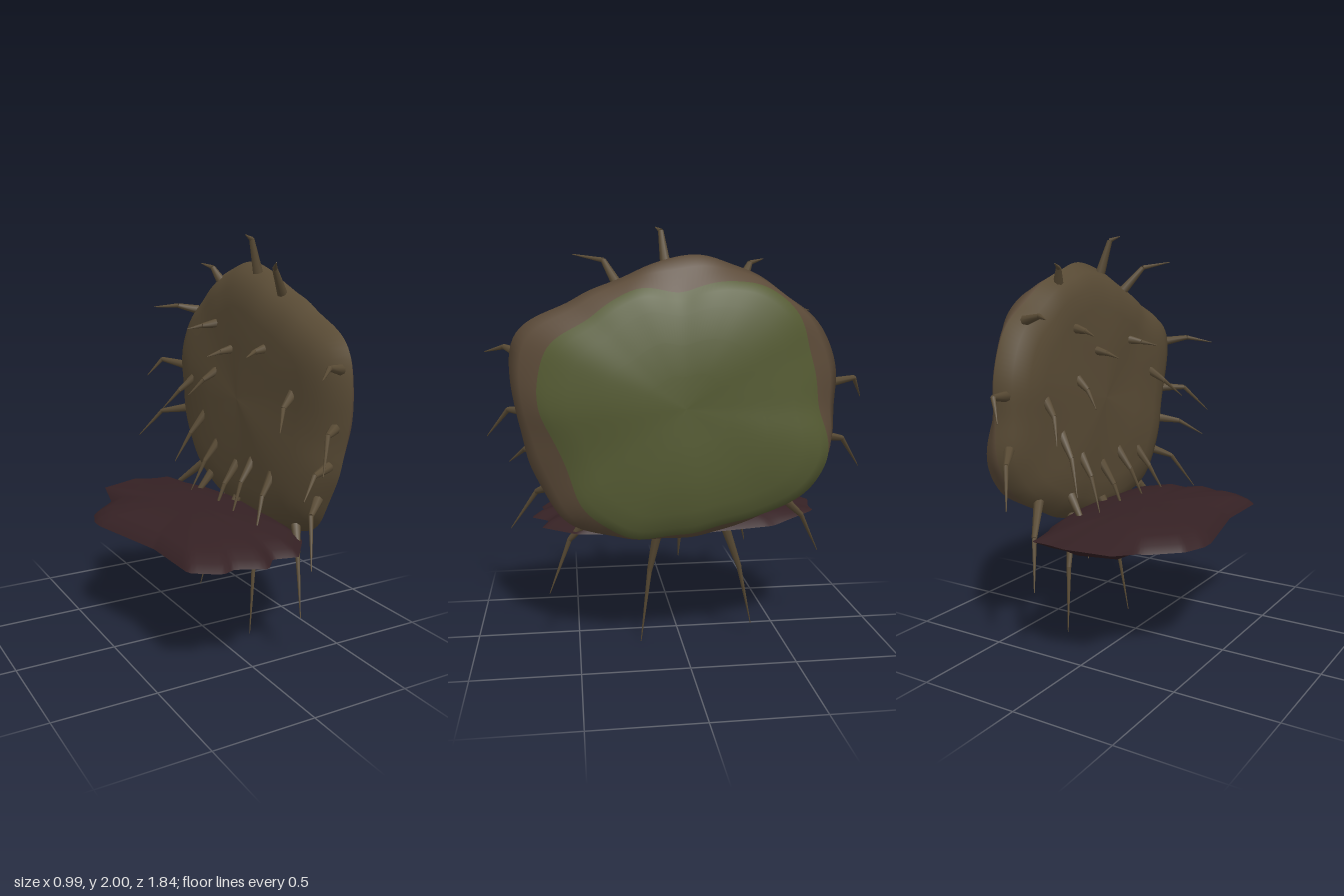
import * as THREE from 'three';

const mat = (name, color) => {
  const m = new THREE.MeshStandardMaterial({ color });
  m.name = name;
  return m;
};

// Skin over rings; point(ring, angle) gives a position, slots gives the material per band
const N = 180;
function loft(ringCount, point, slots) {
  const pos = [], index = [], geo = new THREE.BufferGeometry();
  for (let i = 0; i < ringCount; i++)
    for (let j = 0; j < N; j++) pos.push(...point(i, (j / N) * Math.PI * 2));
  for (let i = 0; i < ringCount - 1; i++) {
    for (let j = 0; j < N; j++) {
      const a = i * N + j, c = i * N + (j + 1) % N;
      index.push(a, a + N, c, c, a + N, c + N);
    }
    if (slots) geo.addGroup(i * N * 6, N * 6, slots[i]);
  }
  geo.setAttribute('position', new THREE.Float32BufferAttribute(pos, 3));
  geo.setIndex(index);
  geo.computeVertexNormals();
  return geo;
}

// Radius at angle a, blended smoothly between radii spaced evenly round the circle
function radiusAt(radii, a) {
  const n = radii.length, t = ((a / (Math.PI * 2)) % 1 + 1) % 1 * n, i = Math.floor(t), f = t - i;
  const [p, q, r, s] = [-1, 0, 1, 2].map(k => radii[(i + k + n) % n]);
  return q + 0.5 * f * (r - p + f * (2 * p - 5 * q + 4 * r - s + f * (3 * (q - r) + s - p)));
}

// Slab and moss radii round the slab centre, from +z up and over
const centre = { z: 0.02, y: 1.2 };
const slabRadii = [0.745, 0.81, 0.675, 0.63, 0.67, 0.675, 0.7, 0.75, 0.735, 0.74, 0.685, 0.64, 0.635, 0.68, 0.75, 0.74];
const mossRadii = [0.64, 0.66, 0.57, 0.56, 0.51, 0.6, 0.67, 0.63, 0.63, 0.72, 0.67, 0.59, 0.59, 0.65, 0.64, 0.59];

// Corners of the flat pad, as [x, z], in order of angle round its centre
const padCorners = [
  [0.34, 0], [0.27, 0.5], [0.13, 0.67], [0.01, 0.64], [-0.07, 0.73], [-0.2, 0.66], [-0.27, 0.685],
  [-0.395, 0.6], [-0.4, 0.27], [-0.5, -0.15], [-0.5, -0.22], [-0.46, -0.33], [-0.3, -0.48],
  [-0.27, -0.645], [-0.06, -0.7], [0.05, -0.67], [0.14, -0.67], [0.25, -0.42]];
const padCentre = new THREE.Vector2(-0.06, 0);

// Distance from the pad centre to its edge at angle a
function padReach(a) {
  const dir = new THREE.Vector2(Math.cos(a), Math.sin(a));
  const corners = padCorners.map(c => new THREE.Vector2(...c).sub(padCentre));
  let best = 0;
  corners.forEach((p, i) => {
    const edge = corners[(i + 1) % corners.length].clone().sub(p);
    const k = -dir.cross(p) / dir.cross(edge);
    if (k >= -1e-6 && k <= 1 + 1e-6) best = Math.max(best, p.clone().addScaledVector(edge, k).dot(dir));
  });
  return best;
}

// Roots round the rim: bend z, bend y, tip x, tip y, tip z
const rimRoots = [
  [0.1, 1.98, 0.165, 2, 0.12], [0.36, 1.85, 0.09, 1.88, 0.5], [-0.31, 1.84, 0.2, 1.86, -0.38],
  [-0.56, 1.63, 0.05, 1.62, -0.65], [-0.84, 1.3, 0.12, 1.2, -0.9], [-0.8, 1, 0.07, 0.84, -0.92],
  [-0.6, 0.62, 0.1, 0.41, -0.71], [-0.28, 0.38, 0.18, 0.07, -0.35], [0.16, 0.38, 0.17, 0, 0.2],
  [0.54, 0.55, 0.17, 0.27, 0.64], [0.69, 0.78, 0.09, 0.58, 0.82], [0.74, 0.98, 0.04, 0.9, 0.82],
  [0.81, 1.17, 0.06, 1.03, 0.92], [0.82, 1.46, 0.04, 1.43, 0.92]];
// Roots on the back face: base y, base z
const backRoots = [
  [1.56, -0.22], [1.445, -0.05], [1.48, 0.25], [1.32, -0.21], [1.25, -0.46], [1.07, -0.34],
  [0.95, -0.19], [0.87, 0], [0.92, 0.15], [0.9, 0.33], [0.68, 0], [0.75, -0.27], [1.3, 0.48]];

export function createModel() {
  const soil = mat('soil', 0x594b35);
  const rim = mat('rimSoil', 0x5b4a38);
  const moss = mat('moss', 0x555b33);
  const maroon = mat('darkMaroon', 0x352124);
  const model = new THREE.Group();
  model.name = 'rootedSlab';

  // Upright slab, back to front: [scale, x, blend from slab radius to moss radius]
  const rings = [
    [0, 0.19, 0], [0.4, 0.187, 0], [0.68, 0.192, 0], [0.82, 0.207, 0], [0.93, 0.24, 0], [1, 0.3, 0],
    [1, 0.345, 0.35], [1, 0.395, 1], [0.93, 0.422, 1], [0.8, 0.449, 1], [0.55, 0.475, 1], [0.28, 0.488, 1], [0, 0.49, 1]];
  const slabGeo = loft(rings.length, (i, a) => {
    const [s, x, blend] = rings[i];
    const wobble = 1 + 0.009 * Math.sin(11 * a + 1) * Math.cos(4 * a);
    const r = s * wobble * THREE.MathUtils.lerp(radiusAt(slabRadii, a), radiusAt(mossRadii, a), blend);
    const z = centre.z + r * Math.cos(a), y = centre.y + r * Math.sin(a);
    const bump = 0.01 * Math.sin(7 * z + 2 * y) * Math.cos(8 * y - 3 * z);
    return [x + bump, y, z];
  }, rings.slice(1).map((_, i) => (i < 5 ? 0 : i < 7 ? 1 : 2)));
  const slab = new THREE.Mesh(slabGeo, [soil, rim, moss]);
  slab.name = 'mossySlab';
  model.add(slab);

  // Flat pad: domed top and flat underside, rings as [scale, y], edge raised towards -z
  const addPad = (name, list) => {
    const geo = loft(list.length, (i, a) => {
      const [s, y] = list[i], r = s * padReach(a);
      const z = padCentre.y + r * Math.sin(a);
      const lift = Math.max(0, -z - 0.45) * 0.2 * Math.max(0, (s - 0.85) / 0.15);
      return [padCentre.x + r * Math.cos(a), y + lift, z];
    });
    const mesh = new THREE.Mesh(geo, maroon);
    mesh.name = name;
    model.add(mesh);
  };
  addPad('padTop', [[1, 0.588], [0.94, 0.618], [0.82, 0.647], [0.6, 0.667], [0.3, 0.678], [0, 0.68]]);
  addPad('padUnderside', [[0, 0.58], [0.85, 0.58], [1, 0.588]]);

  // Bent roots: a thick base and a thin pointed tip
  const roots = new THREE.Group();
  roots.name = 'roots';
  const up = new THREE.Vector3(0, 1, 0);
  const addSegment = (name, from, to, r0, r1) => {
    const dir = to.clone().sub(from);
    const seg = new THREE.Mesh(new THREE.CylinderGeometry(r1, r0, dir.length(), 7), soil);
    seg.position.copy(from).addScaledVector(dir, 0.5);
    seg.quaternion.setFromUnitVectors(up, dir.normalize());
    seg.name = name;
    roots.add(seg);
  };
  const addRoot = (base, bend, tip) => {
    addSegment('rootBase', base, bend, 0.025, 0.013);
    addSegment('rootTip', bend, tip, 0.012, 0.002);
  };
  for (const [bz, by, tx, ty, tz] of rimRoots) {
    const a = Math.atan2(by - centre.y, bz - centre.z), r = 0.95 * radiusAt(slabRadii, a);
    const base = new THREE.Vector3(0.26, centre.y + r * Math.sin(a), centre.z + r * Math.cos(a));
    addRoot(base, new THREE.Vector3((0.26 + tx) / 2, by, bz), new THREE.Vector3(tx, ty, tz));
  }
  // Back roots droop more the lower they start and fan out sideways
  for (const [y, z] of backRoots) {
    const drop = 0.03 + THREE.MathUtils.clamp((1.45 - y) * 0.8, 0, 0.25);
    addRoot(new THREE.Vector3(0.21, y, z), new THREE.Vector3(0.13, y - drop * 0.4, z * 1.08),
      new THREE.Vector3(0.06, y - drop, z * 1.25));
  }
  model.add(roots);
  return model;
}
